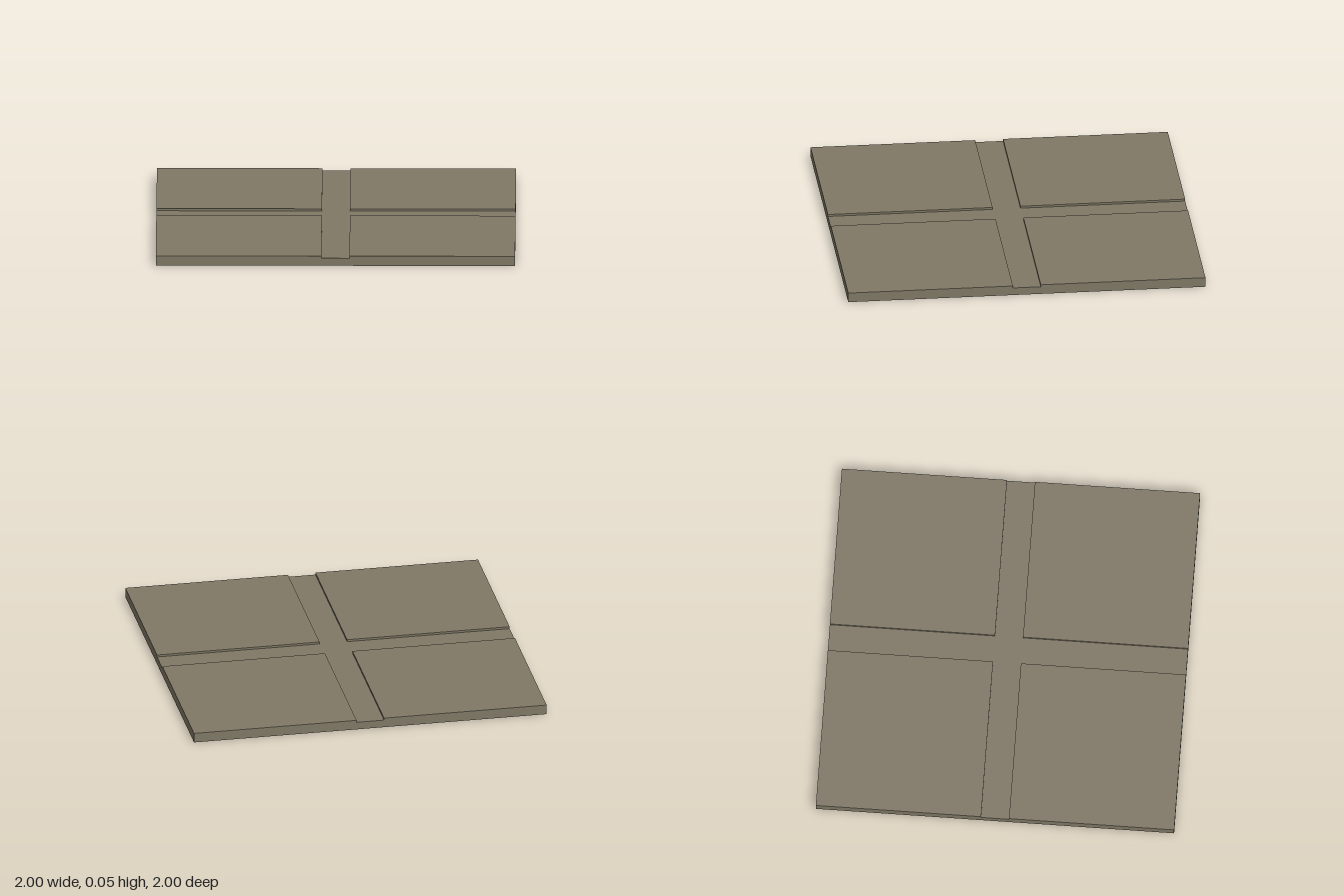
import * as THREE from 'three';

const HEIGHT = 0.055; // raised quarters
const CHANNEL = 0.043; // floor of the crossing channels
const HALF = 0.078; // half the channel width

export function createModel() {
  const model = new THREE.Group();
  const stone = new THREE.MeshStandardMaterial({ color: 0x807866 });
  stone.name = 'stone';

  // Grid lines 1-2 and 3-4 coincide, so the cells between them become the channel walls
  const lines = [-1, -HALF, -HALF, HALF, HALF, 1];
  const box = new THREE.BoxGeometry(5, 1, 5, 5, 1, 5);
  const pos = box.attributes.position;
  const sunk = (i) => i === 2 || i === 3;
  for (let v = 0; v < pos.count; v++) {
    const i = Math.round(pos.getX(v) + 2.5);
    const j = Math.round(pos.getZ(v) + 2.5);
    const top = sunk(i) || sunk(j) ? CHANNEL : HEIGHT;
    pos.setXYZ(v, lines[i], pos.getY(v) > 0 ? top : 0, lines[j]);
  }
  const geometry = box.toNonIndexed();
  geometry.computeVertexNormals();

  // Square slab with two crossing channels
  const slab = new THREE.Mesh(geometry, stone);
  slab.name = 'crossChannelSlab';
  model.add(slab);
  return model;
}
